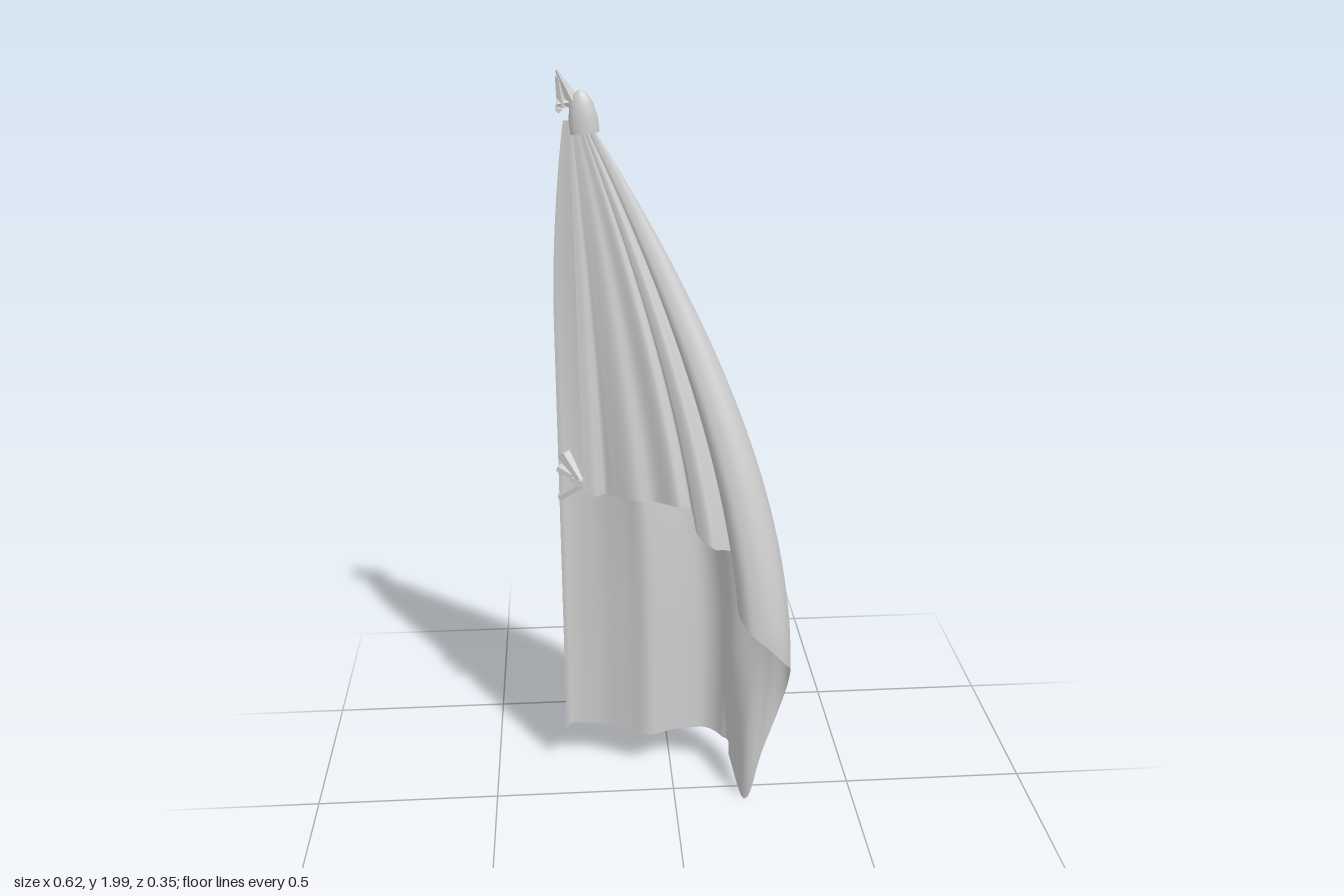
import * as THREE from 'three';

const material = new THREE.MeshStandardMaterial({ color: 0xcccccc, side: THREE.DoubleSide });
const APEX = { x: -0.25, z: -0.09 };
const TOP = 1.88;

// How far the cloth has opened out from the tied corner at height y.
const ease = (y, span) => Math.sin(Math.PI / 2 * THREE.MathUtils.clamp((1.95 - y) / span, 0.03, 1));
const openSide = (y) => Math.pow(ease(y, 1.52), 0.93);
const openEdge = (y) => Math.pow(ease(y, 0.6), 0.8);
const openBack = (y) => Math.pow(ease(y, 1.1), 1.3);
const openFront = (y) => {
  const d = THREE.MathUtils.clamp((1.95 - y) / 1.38, 0.08, 1);
  return (Math.pow(d, 1.2) + ease(y, 1.38) ** 2) / 2;
};
const spreadX = (dx, y) => (dx < 0 ? openEdge(y) : openSide(y));
const spreadZ = (dz, y) => (dz < 0 ? openBack(y) : openFront(y));

// Hem of the folded cloth: x, y, z, then the inward kick of the low corner (x, z).
const HEM = [
  [-0.30, 0.14, -0.13], [-0.285, 0.14, -0.16], [-0.20, 0.135, -0.16], [-0.12, 0.13, -0.13],
  [-0.06, 0.125, -0.105], [0.0, 0.12, -0.135], [0.06, 0.105, -0.168], [0.11, 0.10, -0.173],
  [0.15, 0.09, -0.14], [0.163, 0.08, -0.06],
  [0.225, 0.01, -0.005, -0.03, 0.07], [0.265, 0.17, 0.03, -0.03, 0.055],
  [0.31, 0.43, 0.095], [0.285, 0.49, 0.155], [0.235, 0.55, 0.175], [0.19, 0.59, 0.165],
  [0.163, 0.63, 0.13], [0.16, 0.72, 0.09],
  [0.152, 0.775, 0.055], [0.13, 0.785, 0.06], [0.10, 0.80, 0.085], [0.06, 0.83, 0.062],
  [0.042, 0.895, 0.035], [0.01, 0.905, 0.045], [-0.05, 0.905, 0.005], [-0.10, 0.91, 0.004],
  [-0.155, 0.91, -0.032], [-0.18, 0.91, -0.048], [-0.20, 0.91, -0.03], [-0.236, 0.925, -0.035],
];

function clothGeometry(nu = 180, nv = 64) {
  const hem = new THREE.CatmullRomCurve3(HEM.map(([x, y, z]) => new THREE.Vector3(x, y, z)));
  const kick = new THREE.CatmullRomCurve3(HEM.map((h) => new THREE.Vector3(h[3] || 0, 0, h[4] || 0)));
  const geometry = new THREE.PlaneGeometry(1, 1, nu, nv);
  const pos = geometry.attributes.position;
  for (let j = 0; j <= nv; j++) {
    for (let i = 0; i <= nu; i++) {
      const h = hem.getPoint(i / nu), k = kick.getPoint(i / nu);
      const dx = h.x - APEX.x, dz = h.z - APEX.z;
      const y = THREE.MathUtils.lerp(TOP, h.y, j / nv);
      const low = 1 - THREE.MathUtils.smoothstep(y, 0, 0.55);
      pos.setXYZ(
        j * (nu + 1) + i,
        APEX.x + dx * spreadX(dx, y) / spreadX(dx, h.y) + k.x * low,
        y,
        APEX.z + dz * spreadZ(dz, y) / spreadZ(dz, h.y) + k.z * low,
      );
    }
  }
  geometry.computeVertexNormals();
  return geometry;
}

// Flat tapering ribbon between two points.
function ribbon(name, from, to, w0, w1) {
  const a = new THREE.Vector3(...from), b = new THREE.Vector3(...to);
  const dir = b.clone().sub(a);
  const geometry = new THREE.CylinderGeometry(w1, w0, dir.length(), 4);
  geometry.scale(1, 1, 0.5);
  const mesh = new THREE.Mesh(geometry.toNonIndexed(), material);
  mesh.geometry.computeVertexNormals();
  mesh.name = name;
  mesh.position.copy(a).add(b).multiplyScalar(0.5);
  mesh.quaternion.setFromUnitVectors(new THREE.Vector3(0, 1, 0), dir.normalize());
  return mesh;
}

export function createModel() {
  const group = new THREE.Group();
  group.name = 'hangingCloth';

  const cloth = new THREE.Mesh(clothGeometry(), material);
  cloth.name = 'foldedCloth';
  group.add(cloth);

  // Gathered corner above the cloth, leaning to the right
  const profile = [[0.036, 0], [0.036, 0.035], [0.029, 0.07], [0.017, 0.095], [0, 0.105]];
  const gather = new THREE.Mesh(
    new THREE.LatheGeometry(profile.map(([r, y]) => new THREE.Vector2(r, y)), 20), material);
  gather.name = 'gatheredCorner';
  gather.scale.z = 0.68;
  gather.position.set(-0.21, 1.85, APEX.z);
  gather.rotation.z = 0.1;
  group.add(gather);

  // Tie at the upper corner
  const upperTie = new THREE.Group();
  upperTie.name = 'upperTie';
  upperTie.add(
    ribbon('tieLoop', [-0.20, 1.93, -0.09], [-0.275, 1.92, -0.09], 0.012, 0.012),
    ribbon('tieCrossbar', [-0.272, 1.91, -0.14], [-0.272, 1.91, -0.05], 0.009, 0.009),
    ribbon('tieEndUp', [-0.235, 1.92, -0.09], [-0.275, 2.0, -0.088], 0.02, 0.003),
    ribbon('tieEndSide', [-0.262, 1.91, -0.09], [-0.272, 1.985, -0.09], 0.014, 0.007),
    ribbon('tieEndDown', [-0.265, 1.92, -0.09], [-0.275, 1.9, -0.095], 0.01, 0.006),
  );
  group.add(upperTie);

  // Tie at the lower corner of the front layer
  const lowerTie = new THREE.Group();
  lowerTie.name = 'lowerTie';
  lowerTie.add(
    ribbon('tieKnot', [-0.225, 0.94, -0.045], [-0.265, 0.945, -0.08], 0.015, 0.012),
    ribbon('tieEndUp', [-0.24, 0.94, -0.06], [-0.285, 1.015, -0.085], 0.008, 0.018),
    ribbon('tieEndSide', [-0.235, 0.94, -0.06], [-0.30, 0.965, -0.11], 0.01, 0.012),
    ribbon('tieEndDown', [-0.235, 0.94, -0.055], [-0.30, 0.885, -0.09], 0.01, 0.011),
  );
  group.add(lowerTie);

  return group;
}
